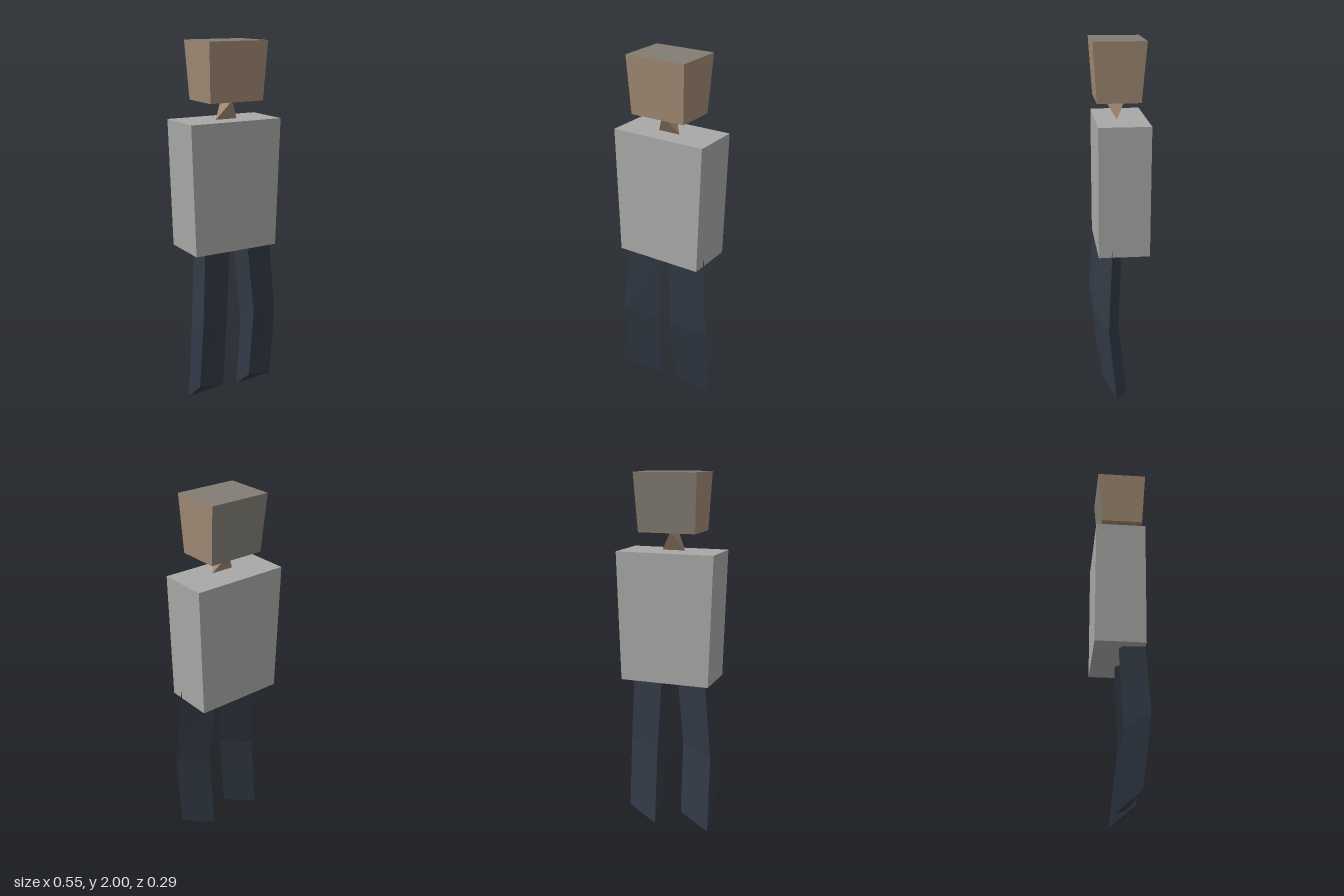
import * as THREE from 'three';

const skin = new THREE.MeshStandardMaterial({ color: 0x9f8872 });
const hair = new THREE.MeshStandardMaterial({ color: 0x827d73 });
const shirt = new THREE.MeshStandardMaterial({ color: 0xa8a8a7 });
const trousers = new THREE.MeshStandardMaterial({ color: 0x323a46 });
Object.entries({ skin, hair, shirt, trousers }).forEach(([name, m]) => { m.name = name; });

// Box between a bottom and a top rectangle, each [y, xMin, xMax, zMin, zMax]
function taperedBox(bottom, top) {
  const geo = new THREE.BoxGeometry(1, 1, 1);
  const p = geo.attributes.position;
  for (let i = 0; i < p.count; i++) {
    const [y, x0, x1, z0, z1] = p.getY(i) > 0 ? top : bottom;
    p.setXYZ(i, p.getX(i) > 0 ? x1 : x0, y, p.getZ(i) > 0 ? z1 : z0);
  }
  geo.computeVertexNormals();
  return geo;
}

// Flat-faced surface from a list of triangles of points
function faceted(triangles) {
  const geo = new THREE.BufferGeometry();
  geo.setAttribute('position', new THREE.Float32BufferAttribute(triangles.flat(2), 3));
  geo.computeVertexNormals();
  return geo;
}

// Three-sided tube through rings of [front, outer, back] points, bottom to top
function prism(rings) {
  const tris = [];
  for (let r = 0; r < rings.length - 1; r++) {
    for (let i = 0; i < 3; i++) {
      const j = (i + 1) % 3, lo = rings[r], hi = rings[r + 1];
      tris.push([lo[i], lo[j], hi[j]], [lo[i], hi[j], hi[i]]);
    }
  }
  const [a, b, c] = rings[0];
  tris.push([a, c, b], rings[rings.length - 1]);
  return faceted(tris);
}

export function createModel() {
  const model = new THREE.Group();
  const add = (name, geometry, material) => {
    const mesh = new THREE.Mesh(geometry, material);
    mesh.name = name;
    model.add(mesh);
  };

  // Head: hair on the top and back faces
  add('head',
    taperedBox([1.69, -0.165, 0.15, -0.107, 0.122], [2, -0.18, 0.165, -0.133, 0.142]),
    [skin, skin, hair, skin, skin, hair]);

  // Neck: a four-faced wedge, wide in x below and wide in z above
  const left = [0.055, 1.59, 0.01], right = [-0.072, 1.59, 0.01];
  const front = [-0.008, 1.695, 0.075], back = [-0.008, 1.695, -0.045];
  add('neck', faceted([
    [right, left, front], [left, right, back], [left, back, front], [right, front, back],
  ]), skin);

  // Torso
  add('torso',
    taperedBox([0.89, -0.255, 0.24, -0.147, 0.125], [1.59, -0.278, 0.262, -0.147, 0.125]),
    shirt);

  // Legs: the same triangular section, shifted in x, each leaning at the hip
  const leg = (x, hip) => prism([
    [[x, 0.125, 0.1], [x + 0.185, 0.065, 0.035], [x, 0.005, -0.04]],
    [[x, 0.53, 0.147], [x + 0.185, 0.48, 0.076], [x, 0.43, 0.005]],
    [[hip, 0.97, 0.12], [hip + 0.188, 0.935, 0.053], [hip, 0.88, -0.016]],
  ]);
  add('leftLeg', leg(0.09, 0.055), trousers);
  add('rightLeg', leg(-0.228, -0.198), trousers);

  // Bring the lowest toe down to the ground
  model.children.slice(-2).forEach((m) => m.geometry.translate(0, -0.005, 0));
  return model;
}
